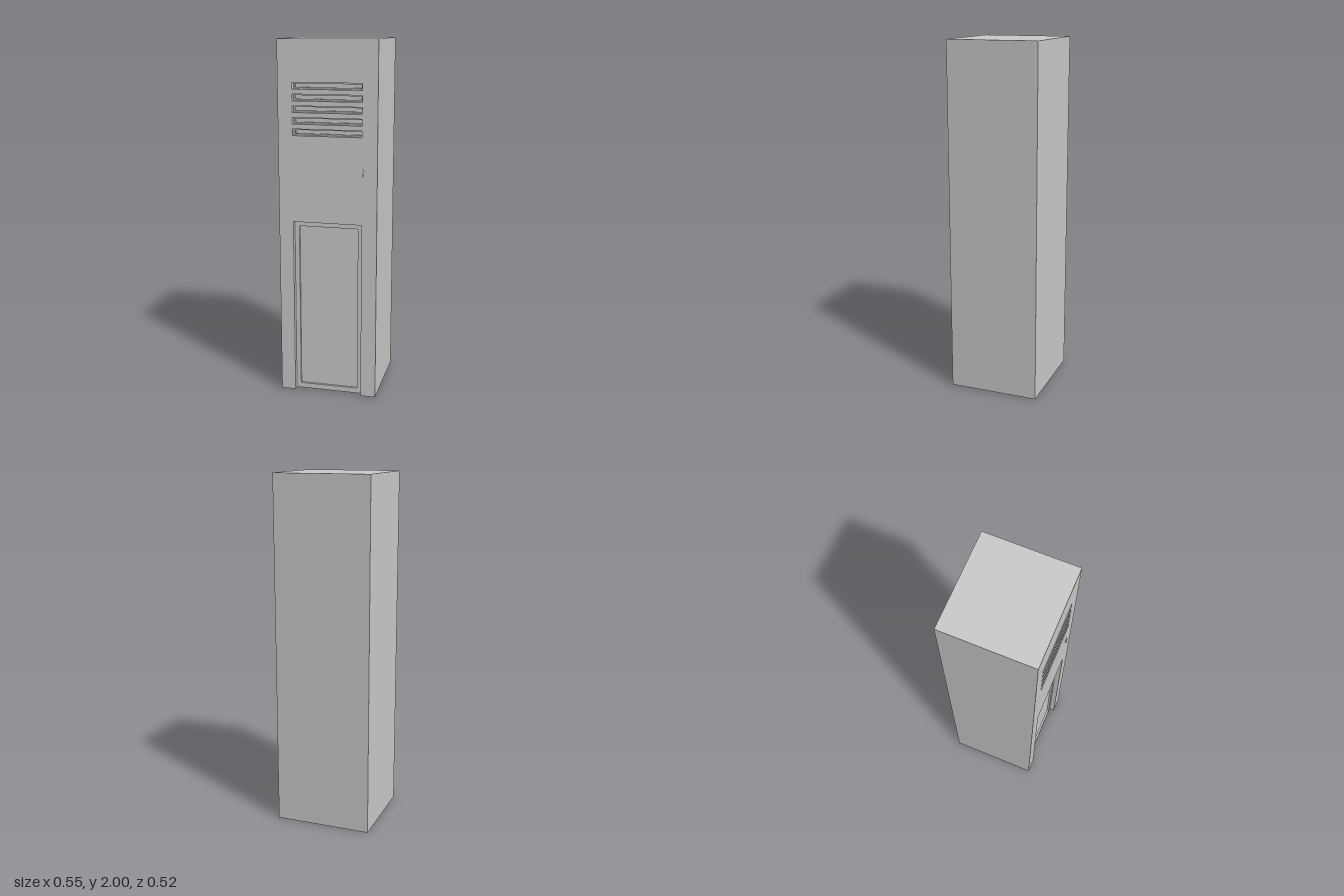
import * as THREE from 'three';

const W = 0.276;              // half width
const BACK = -0.261, FLOOR = 0.212, STEP = 0.224, FRONT = 0.254;

function rectPath(x0, y0, x1, y1) {
  return new THREE.Path([
    new THREE.Vector2(x0, y0), new THREE.Vector2(x0, y1),
    new THREE.Vector2(x1, y1), new THREE.Vector2(x1, y0),
  ]);
}

// Five evenly spaced vent openings, narrowed by an inset
function ventHoles(inset) {
  const holes = [];
  for (let i = 0; i < 5; i++) {
    const y = 1.753 - i * 0.0625;
    holes.push(rectPath(-0.195 + inset, y - 0.018 + inset, 0.191 - inset, y + 0.018 - inset));
  }
  return holes;
}

function slab(shape, z0, z1) {
  const g = new THREE.ExtrudeGeometry(shape, { depth: z1 - z0, bevelEnabled: false, curveSegments: 10 });
  return g.translate(0, 0, z0);
}

export function createModel() {
  const group = new THREE.Group();
  const material = new THREE.MeshStandardMaterial({ color: 0xcccccc });
  const add = (name, geometry) => {
    const mesh = new THREE.Mesh(geometry, material);
    mesh.name = name;
    group.add(mesh);
  };

  // Cabinet body behind the layered front
  const body = new THREE.BoxGeometry(2 * W, 2, FLOOR - BACK);
  add('cabinetBody', body.translate(0, 1, (FLOOR + BACK) / 2));

  // Middle layer: inner lower panel and inner vent slots
  const middle = new THREE.Shape();
  middle.moveTo(-W, 0).lineTo(W, 0).lineTo(W, 2).lineTo(-W, 2).closePath();
  middle.holes.push(rectPath(-0.169, 0.03, 0.165, 0.975), ...ventHoles(0.008));
  add('recessFrame', slab(middle, FLOOR, STEP));

  // Outer face: lower recess open at the floor, and the vent openings
  const face = new THREE.Shape();
  face.moveTo(-W, 0).lineTo(-0.195, 0).lineTo(-0.195, 1.005).lineTo(0.191, 1.005);
  face.lineTo(0.191, 0).lineTo(W, 0).lineTo(W, 2).lineTo(-W, 2).closePath();
  face.holes.push(...ventHoles(0));
  add('frontFace', slab(face, STEP, FRONT));

  // Raised keyhole: round head with a tapered tail
  const key = new THREE.Shape();
  const a = Math.PI / 3;
  key.moveTo(-0.006, -0.029).lineTo(0.006, -0.029);
  key.absarc(0, 0, 0.0125, -a, Math.PI + a, false);
  key.closePath();
  add('keyhole', slab(key, FRONT, 0.26).translate(0.191, 1.303, 0));

  return group;
}
